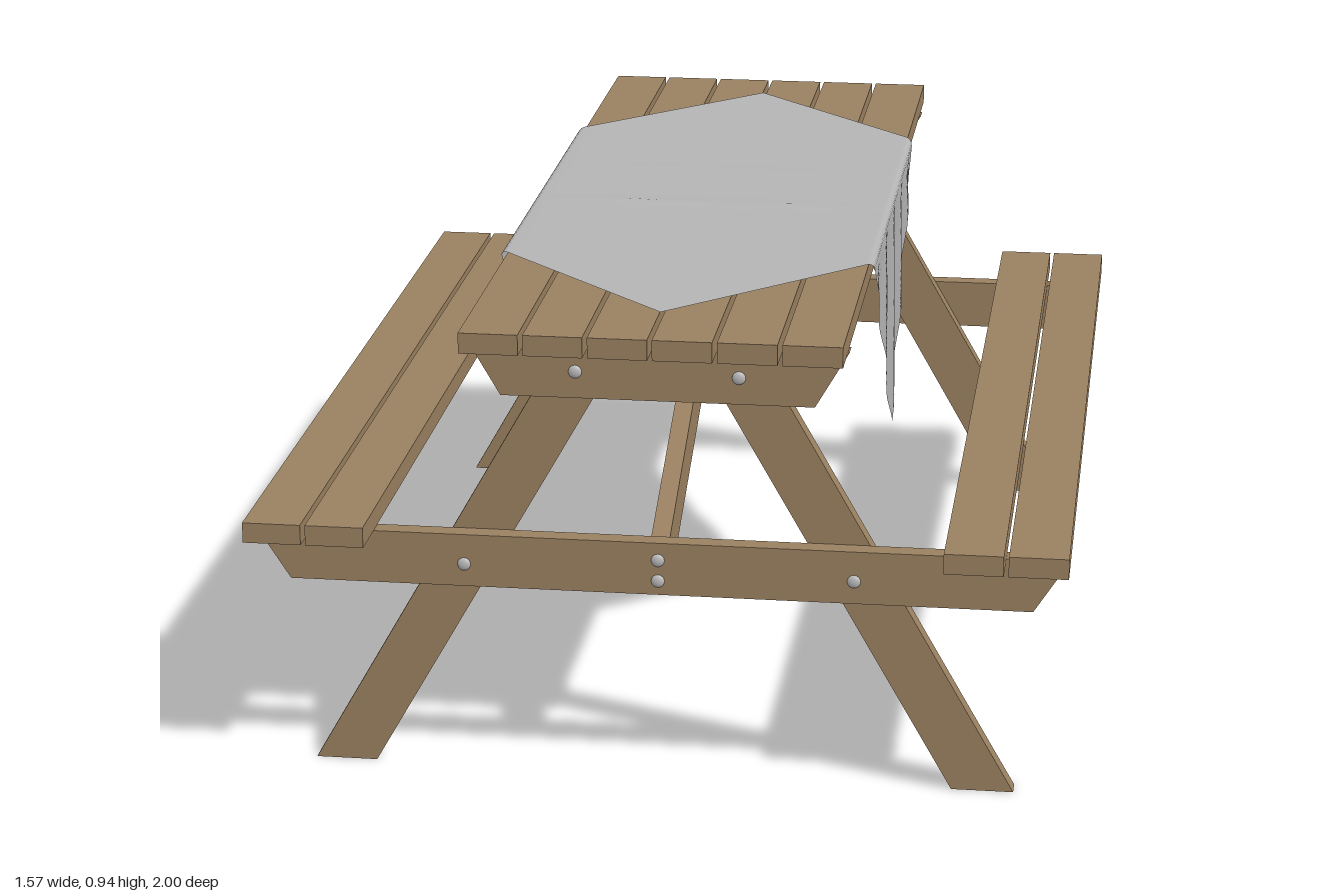
import * as THREE from 'three';

const wood = new THREE.MeshStandardMaterial({ color: 0x9a8060 });
wood.name = 'wood';
const steel = new THREE.MeshStandardMaterial({ color: 0xbcbcbc });
steel.name = 'bolt steel';
const linen = new THREE.MeshStandardMaterial({ color: 0xb4b4b4, side: THREE.DoubleSide });
linen.name = 'tablecloth grey';

function add(parent, name, geometry, material, x = 0, y = 0, z = 0) {
  const mesh = new THREE.Mesh(geometry, material);
  mesh.name = name;
  mesh.position.set(x, y, z);
  parent.add(mesh);
  return mesh;
}

// Flat board cut to an outline, with its thickness centred on z = 0
function board(points, thickness) {
  const shape = new THREE.Shape(points.map(([x, y]) => new THREE.Vector2(x, y)));
  const geometry = new THREE.ExtrudeGeometry(shape, { depth: thickness, bevelEnabled: false });
  geometry.translate(0, 0, -thickness / 2);
  return geometry;
}

// Cross beam with slanted ends
const beam = (bottomHalf, topHalf, y0, y1) =>
  board([[-bottomHalf, y0], [bottomHalf, y0], [topHalf, y1], [-topHalf, y1]], 0.037);

// Cloth laid diagonally: flat on top, rounded at the edge, hanging to a point
function clothGeometry() {
  const reach = 0.85, edge = 0.371, top = 0.938, r = 0.014, rows = 64;
  const flat = edge - r, arc = r * Math.PI / 2;
  const half = [];
  for (let i = 0; i <= 12; i++) half.push(flat * i / 12);
  for (let i = 1; i <= 4; i++) half.push(flat + arc * i / 4);
  for (let i = 1; i <= 20; i++) half.push(flat + arc + (reach + 0.006 - flat - arc) * i / 20);
  const us = [...half.slice(1).reverse().map(u => -u), ...half];
  const positions = [], indices = [];
  us.forEach((u, i) => {
    const a = Math.abs(u), s = Math.sign(u);
    const width = Math.max(0, reach - a);
    for (let j = 0; j <= rows; j++) {
      const z = (j / rows * 2 - 1) * width;
      let x = a, y = top;
      if (a > flat + arc) {
        const drop = a - flat - arc;
        x = edge + 0.004 * Math.min(1, drop / 0.1) * Math.sin(z * 34 + drop * 5);
        y = top - r - drop;
      } else if (a > flat) {
        const t = (a - flat) / r;
        x = flat + r * Math.sin(t);
        y = top - r + r * Math.cos(t);
      } else {
        // faint creases across the top
        const fade = 1 - (a / flat) ** 2;
        y += 0.004 * fade * (Math.exp(-(((z - 0.09) / 0.018) ** 2)) + 0.4 * Math.exp(-(((z + 0.17) / 0.025) ** 2)));
      }
      positions.push(s * x, y, z);
      if (i && j) {
        const d = i * (rows + 1) + j, c = d - 1, b = d - rows - 1, e = b - 1;
        indices.push(e, b, c, b, d, c);
      }
    }
  });
  const geometry = new THREE.BufferGeometry();
  geometry.setAttribute('position', new THREE.Float32BufferAttribute(positions, 3));
  geometry.setIndex(indices);
  geometry.computeVertexNormals();
  return geometry;
}

export function createModel() {
  const model = new THREE.Group();
  model.name = 'picnicTable';

  // Table top and bench planks
  const plank = new THREE.BoxGeometry(0.112, 0.04, 2);
  for (let i = 0; i < 6; i++) add(model, 'topPlank', plank, wood, (i - 2.5) * 0.121, 0.91, 0);
  for (const side of [-1, 1])
    for (const x of [0.606, 0.727]) add(model, 'benchPlank', plank, wood, side * x, 0.515, 0);

  // End frames: beams, slanted legs and bolts
  const topBeam = beam(0.298, 0.362, 0.78, 0.89);
  const seatBeam = beam(0.715, 0.782, 0.39, 0.495);
  const legR = board([[0.565, 0], [0.685, 0], [0.177, 0.89], [0.057, 0.89]], 0.037);
  const legL = board([[-0.685, 0], [-0.565, 0], [-0.057, 0.89], [-0.177, 0.89]], 0.037);
  const bolt = new THREE.SphereGeometry(0.013, 16, 6, 0, Math.PI * 2, 0, Math.PI / 2);
  bolt.scale(1, 0.5, 1);
  bolt.rotateX(Math.PI / 2);
  const boltSpots = [[-0.155, 0.832], [0.155, 0.832], [-0.375, 0.435], [0.375, 0.435], [0, 0.46], [0, 0.418]];
  for (const end of [0, 1]) {
    const frame = new THREE.Group();
    frame.name = end ? 'backFrame' : 'frontFrame';
    frame.rotation.y = end * Math.PI;
    add(frame, 'topBeam', topBeam, wood, 0, 0, 0.887);
    add(frame, 'seatBeam', seatBeam, wood, 0, 0, 0.887);
    add(frame, 'leftLeg', legR, wood, 0, 0, 0.85);
    add(frame, 'rightLeg', legL, wood, 0, 0, 0.85);
    for (const [x, y] of boltSpots) add(frame, 'bolt', bolt, steel, x, y, 0.9055);

    // Diagonal brace rising from the seat beam to the middle of the top
    const brace = board([[0, 0.786], [0.868, 0.393], [0.868, 0.49], [0, 0.884]], 0.036);
    brace.rotateY(-Math.PI / 2);
    add(frame, 'brace', brace, wood);
    model.add(frame);
  }

  // Middle beam under the top
  add(model, 'middleBeam', topBeam, wood);

  add(model, 'tablecloth', clothGeometry(), linen);
  return model;
}
